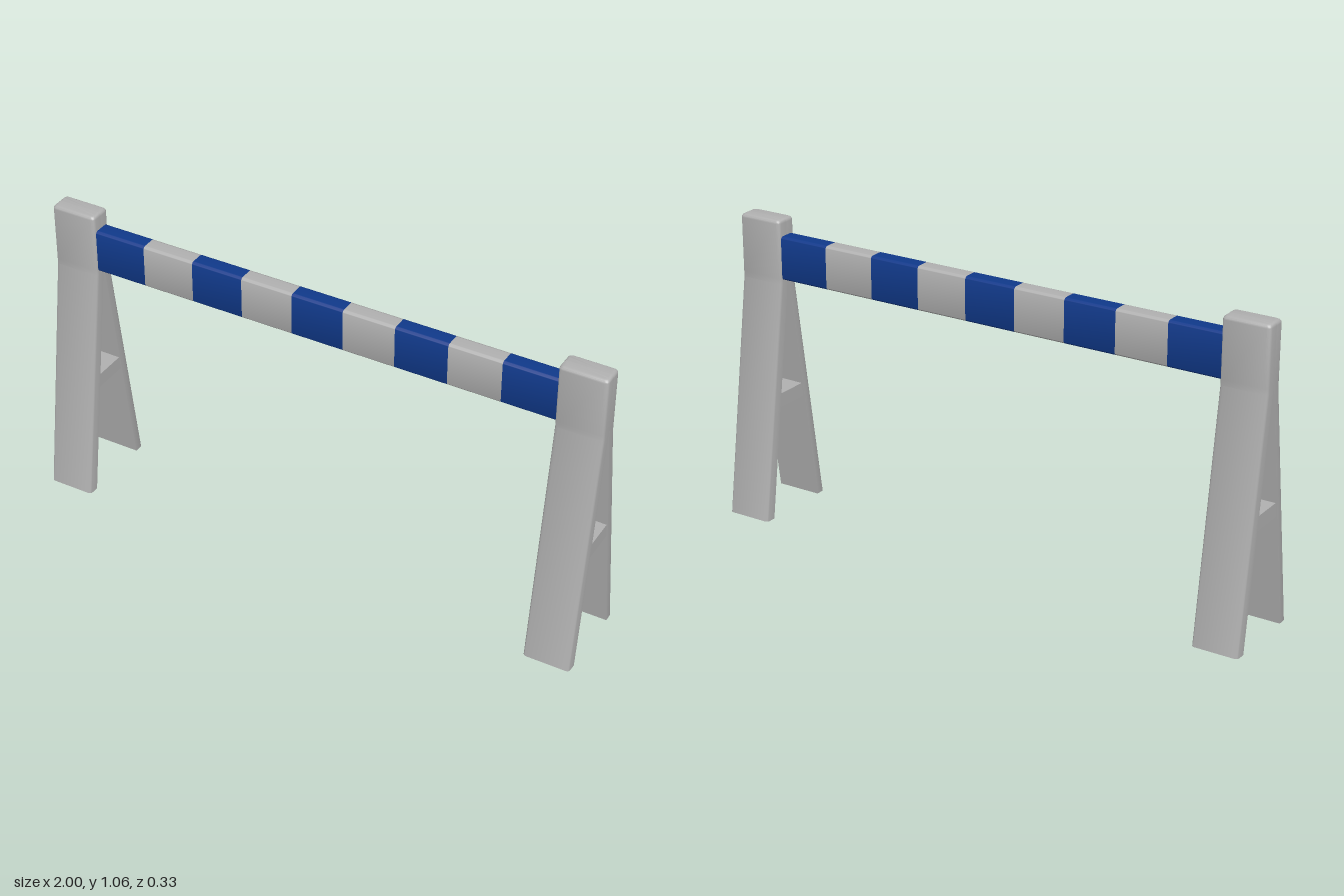
import * as THREE from 'three';
import { toCreasedNormals } from 'three/addons/utils/BufferGeometryUtils.js';

const HALF = 0.082; // half width of a stand along x
const R = 0.012; // edge rounding

// Outline in x/z: square inner edge, two rounded outer corners
function outline(zIn, zOut, inset) {
  const w = HALF - inset, z = zOut - inset, pts = [[-w, zIn], [w, zIn]];
  for (const start of [0, Math.PI / 2]) {
    const cx = start === 0 ? w - R : R - w;
    for (let i = 0; i <= 4; i++) {
      const a = start + (i / 4) * Math.PI / 2;
      pts.push([cx + R * Math.cos(a), z - R + R * Math.sin(a)]);
    }
  }
  return pts;
}

// Leg and half of the post, lofted through [y, inner z, outer z, inset]
function halfStandGeometry() {
  const sections = [[0, 0.125, 0.163, 0], [0.838, 0.003, 0.04, 0], [0.858, 0, 0.04, 0]];
  for (let i = 0; i <= 4; i++) {
    const a = (i / 4) * Math.PI / 2;
    sections.push([1.062 - R + R * Math.sin(a), 0, 0.04, 0.011 * (1 - Math.cos(a))]);
  }
  const pos = [], idx = [];
  let n = 0;
  for (const [y, zIn, zOut, inset] of sections) {
    const ring = outline(zIn, zOut, inset);
    n = ring.length;
    ring.forEach(([x, z]) => pos.push(x, y, z));
  }
  for (let s = 0; s < sections.length - 1; s++) {
    for (let i = 0; i < n; i++) {
      const a = s * n + i, b = s * n + (i + 1) % n;
      idx.push(a, a + n, b, b, a + n, b + n);
    }
  }
  const top = (sections.length - 1) * n;
  for (let i = 1; i < n - 1; i++) {
    idx.push(0, i, i + 1, top, top + i + 1, top + i);
  }
  const geo = new THREE.BufferGeometry();
  geo.setAttribute('position', new THREE.Float32BufferAttribute(pos, 3));
  geo.setIndex(idx);
  return toCreasedNormals(geo, 0.6);
}

// Rounded board section, extruded along x
function boardGeometry(length) {
  const w = 0.032, h = 0.077, r = 0.012;
  const s = new THREE.Shape();
  s.absarc(w - r, h - r, r, 0, Math.PI / 2);
  s.absarc(r - w, h - r, r, Math.PI / 2, Math.PI);
  s.absarc(r - w, r - h, r, Math.PI, Math.PI * 1.5);
  s.absarc(w - r, r - h, r, Math.PI * 1.5, Math.PI * 2);
  const geo = new THREE.ExtrudeGeometry(s, { depth: length, bevelEnabled: false, curveSegments: 4 });
  geo.translate(0, 0, -length / 2);
  geo.rotateY(Math.PI / 2);
  return toCreasedNormals(geo, 0.6);
}

export function createModel() {
  const model = new THREE.Group();
  model.name = 'barrier';
  const grey = new THREE.MeshStandardMaterial({ color: 0xb0b0b0 });
  grey.name = 'light grey';
  const blue = new THREE.MeshStandardMaterial({ color: 0x10398a });
  blue.name = 'dark blue';

  // Two A-shaped stands
  const legGeo = halfStandGeometry();
  const braceGeo = new THREE.BoxGeometry(0.156, 0.05, 0.14);
  for (const side of [-1, 1]) {
    const stand = new THREE.Group();
    stand.name = side > 0 ? 'leftStand' : 'rightStand';
    stand.position.x = side * (1 - HALF);
    for (const facing of [0, 1]) {
      const leg = new THREE.Mesh(legGeo, grey);
      leg.name = facing ? 'backLeg' : 'frontLeg';
      leg.rotation.y = facing * Math.PI;
      stand.add(leg);
    }
    const brace = new THREE.Mesh(braceGeo, grey);
    brace.name = 'crossBrace';
    brace.position.y = 0.421;
    stand.add(brace);
    model.add(stand);
  }

  // Striped board between the stands
  const board = new THREE.Group();
  board.name = 'stripedBoard';
  board.position.y = 0.928;
  const pitch = 1.672 / 9;
  const stripeGeo = boardGeometry(pitch);
  for (let i = 0; i < 9; i++) {
    const stripe = new THREE.Mesh(stripeGeo, i % 2 ? grey : blue);
    stripe.name = i % 2 ? 'greyStripe' : 'blueStripe';
    stripe.position.x = (i - 4) * pitch;
    board.add(stripe);
  }
  model.add(board);
  return model;
}
